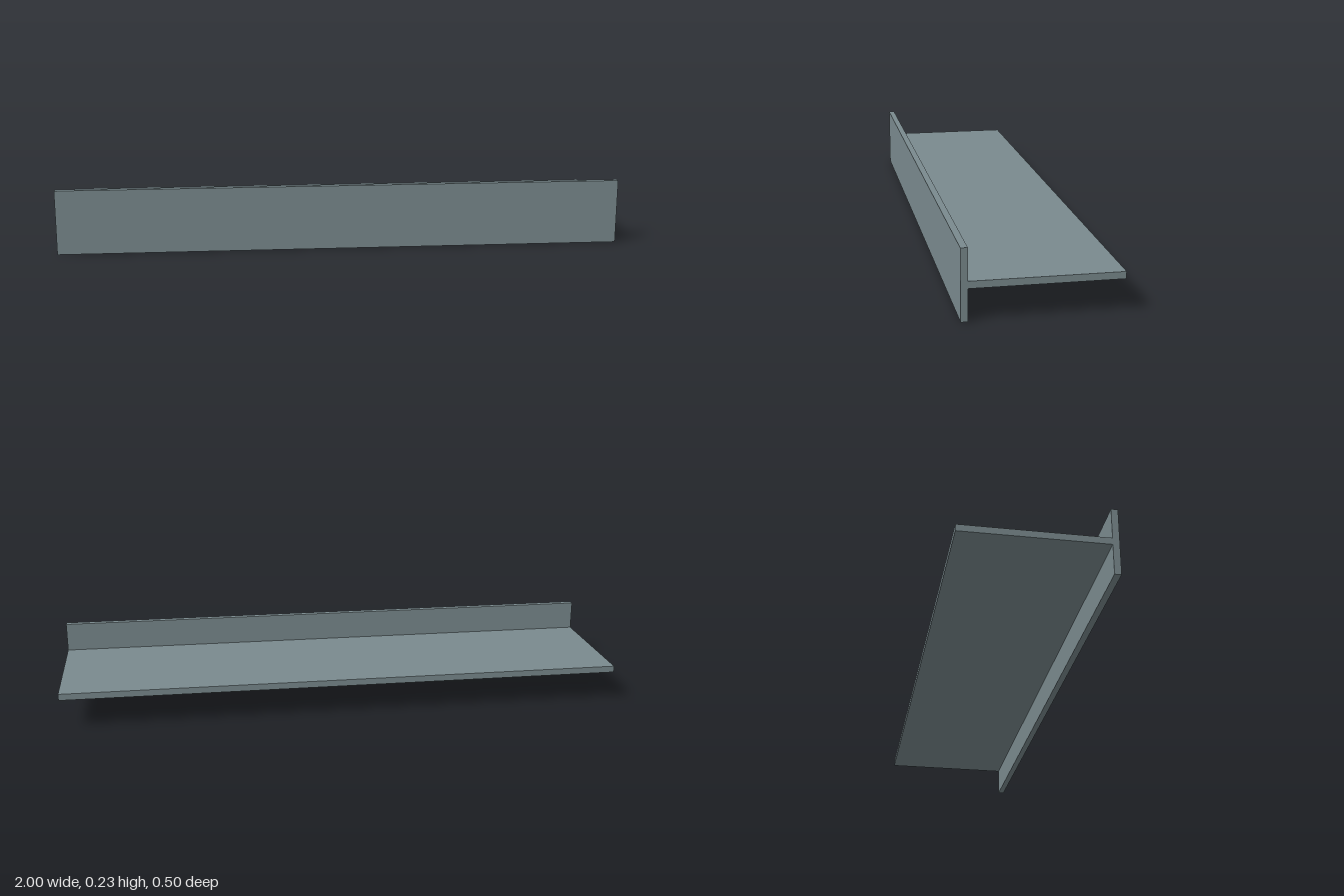
import * as THREE from 'three';

export function createModel() {
  const group = new THREE.Group();
  const steel = new THREE.MeshStandardMaterial({ color: 0x7a8a8e });
  steel.name = 'greyBlue';
  const red = new THREE.MeshStandardMaterial({ color: 0xe74c3c });
  red.name = 'red';

  const length = 2, depth = 0.5, height = 0.2286;
  const plate = 0.022, board = 0.0229;

  const add = (name, geometry, material, x, y, z) => {
    const mesh = new THREE.Mesh(geometry, material);
    mesh.name = name;
    mesh.position.set(x, y, z);
    group.add(mesh);
    return mesh;
  };

  // Upright front plate
  add('frontPlate', new THREE.BoxGeometry(length, height, plate), steel,
    0, height / 2, (depth - plate) / 2);

  // Horizontal board meeting the middle of the plate
  add('shelfBoard', new THREE.BoxGeometry(length, board, depth - plate), steel,
    0, height / 2, -plate / 2);

  // Mounting rods embedded in the board, at thirds of its length
  const rodLength = 0.218;
  for (const side of [-1, 1]) {
    const rod = add(side < 0 ? 'rightMountingRod' : 'leftMountingRod',
      new THREE.CylinderGeometry(board / 2, board / 2, rodLength, 16), red,
      side / 3, height / 2, -0.249 + rodLength / 2);
    rod.rotation.x = Math.PI / 2;
  }
  return group;
}
